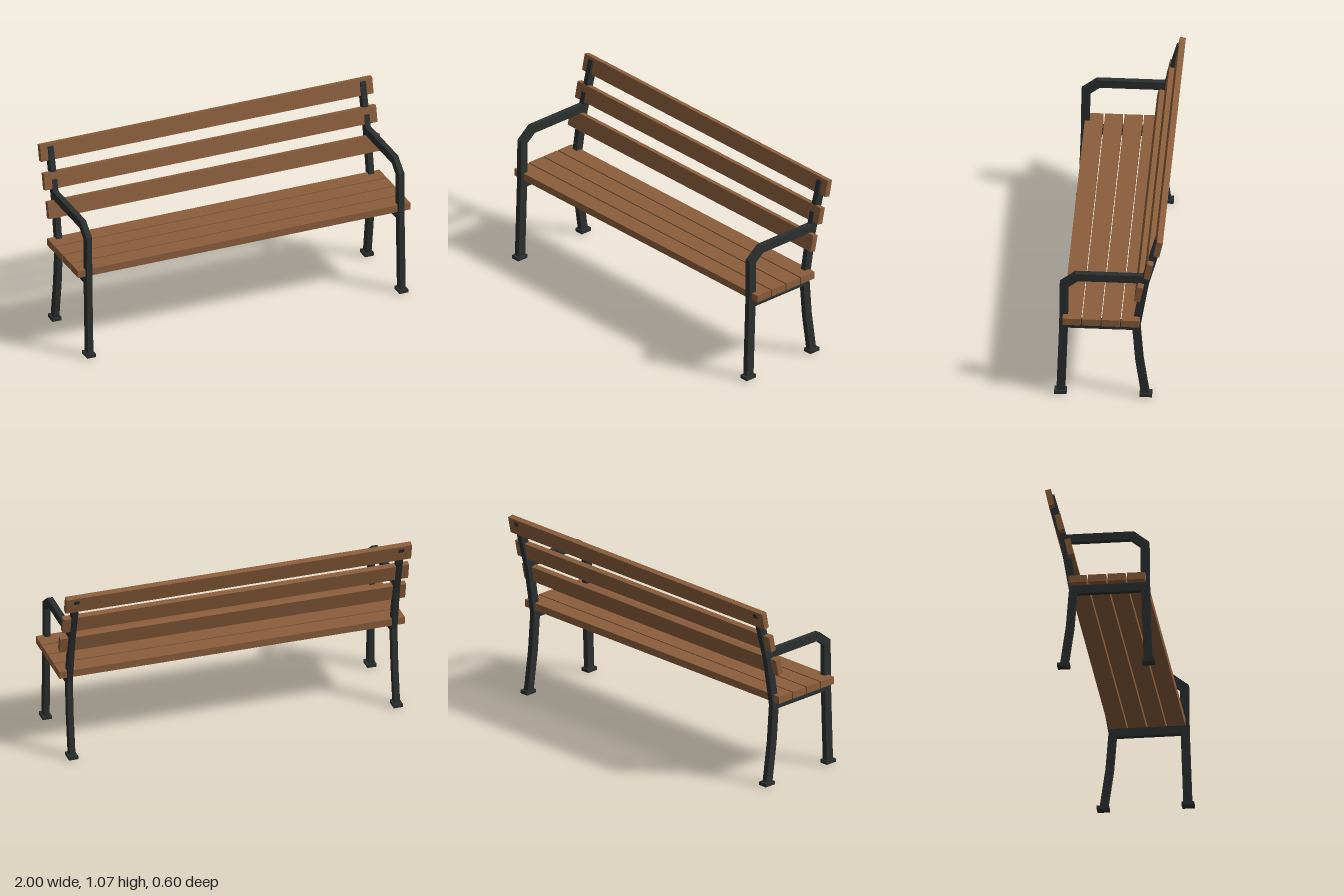
import * as THREE from 'three';

const wood = new THREE.MeshStandardMaterial({ color: 0x8b5e3c });
const steel = new THREE.MeshStandardMaterial({ color: 0x2b302f });
const BAR = 0.032; // bar thickness along x

// Flat bar of constant width following a mitred [z, y] centreline
function bar(name, points, width) {
  const p = points.map(([z, y]) => new THREE.Vector2(z, y));
  const left = [], right = [];
  p.forEach((c, i) => {
    const a = i > 0 ? c.clone().sub(p[i - 1]).normalize() : null;
    const b = i < p.length - 1 ? p[i + 1].clone().sub(c).normalize() : null;
    const d = a || b, e = b || a;
    const n = new THREE.Vector2(-d.y - e.y, d.x + e.x).normalize();
    const half = width / 2 / (-n.x * d.y + n.y * d.x);
    left.push(c.clone().addScaledVector(n, half));
    right.unshift(c.clone().addScaledVector(n, -half));
  });
  const geo = new THREE.ExtrudeGeometry(new THREE.Shape([...left, ...right]), { depth: BAR, bevelEnabled: false });
  geo.translate(0, 0, -BAR / 2).rotateY(-Math.PI / 2);
  const mesh = new THREE.Mesh(geo, steel);
  mesh.name = name;
  return mesh;
}

function box(name, size, y, z, material) {
  const mesh = new THREE.Mesh(new THREE.BoxGeometry(...size), material);
  mesh.position.set(0, y, z);
  mesh.name = name;
  return mesh;
}

// One end frame: leg with armrest, back post, seat rail and feet
function endFrame(name, x) {
  const frame = new THREE.Group();
  frame.name = name;
  frame.position.x = x;
  frame.add(
    bar('frontLegAndArmrest', [[0.266, 0.005], [0.25, 0.47], [0.247, 0.728], [0.178, 0.783], [-0.2, 0.783]], 0.048),
    bar('backLegAndPost', [[-0.203, 0.005], [-0.168, 0.25], [-0.151, 0.47], [-0.199, 0.76], [-0.277, 1.05]], 0.045),
    bar('seatRail', [[0.25, 0.471], [-0.15, 0.471]], 0.05),
    box('frontFoot', [0.053, 0.02, 0.069], 0.017, 0.267, steel),
    box('backFoot', [0.053, 0.02, 0.069], 0.017, -0.204, steel)
  );
  return frame;
}

export function createModel() {
  const bench = new THREE.Group();
  bench.name = 'bench';
  bench.add(endFrame('leftFrame', 0.94), endFrame('rightFrame', -0.94));

  // Seat slats, front to back
  for (let i = 0; i < 4; i++) {
    bench.add(box('seatSlat', [2, 0.042, 0.1], 0.515, 0.203 - i * 0.108, wood));
  }

  // Leaning back slats, bottom to top
  for (let i = 0; i < 3; i++) {
    const slat = box('backSlat', [2, 0.096, 0.033], 0.713 + i * 0.1525, -0.168 - i * 0.0535, wood);
    slat.rotation.x = -0.21;
    bench.add(slat);
  }
  return bench;
}
